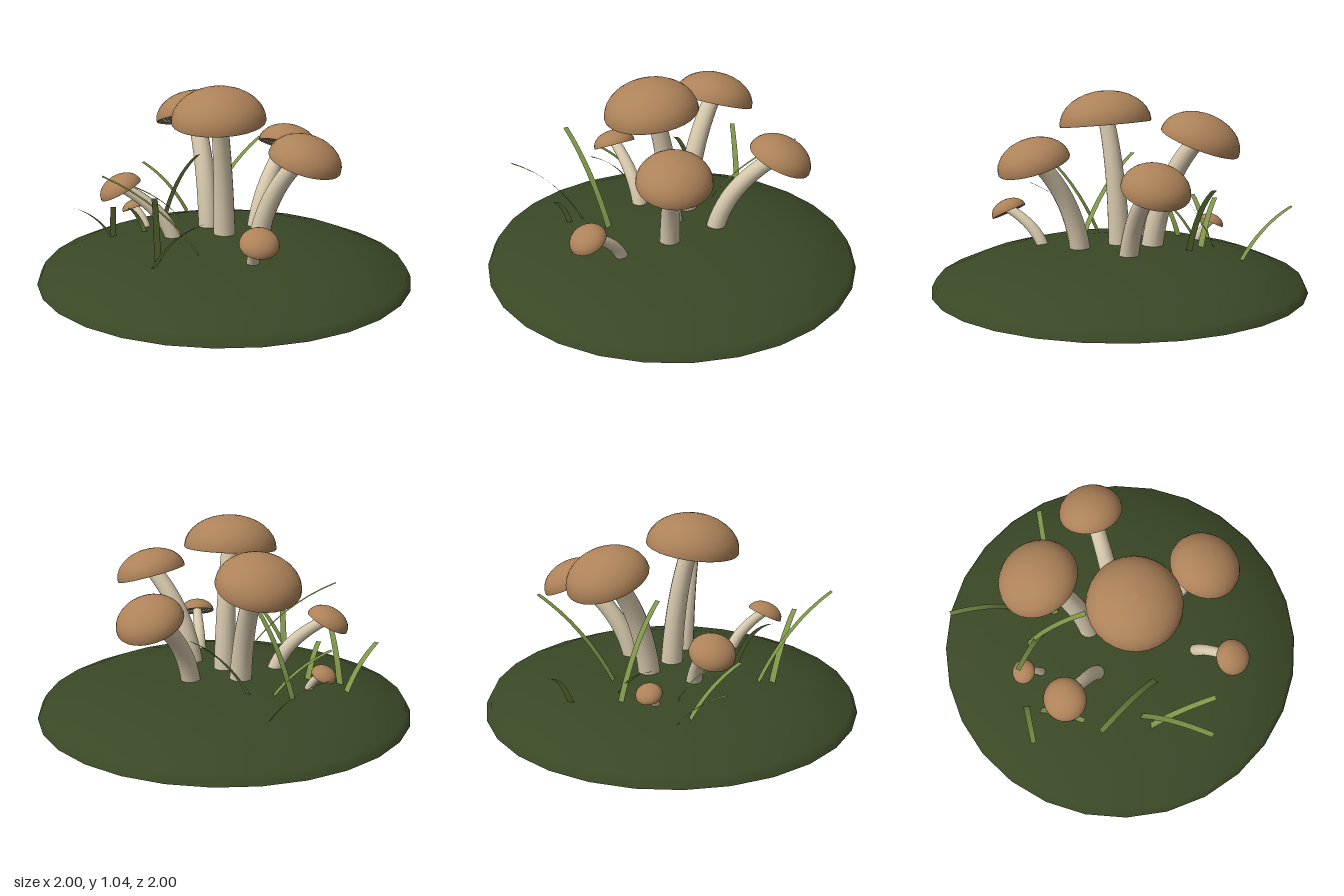
import * as THREE from 'three';

const V = (x, y, z) => new THREE.Vector3(x, y, z);
const mat = (name, color, side = THREE.FrontSide) => {
  const m = new THREE.MeshStandardMaterial({ color, side });
  m.name = name;
  return m;
};

// base x, z | cap rim centre x, y, z | cap radius, stem base radius, stem top radius, tilt in degrees
const MUSHROOMS = [
  [0, 0, 0, 0.865, 0.11, 0.245, 0.06, 0.042, 7],
  [-0.12, -0.12, -0.265, 0.782, -0.33, 0.215, 0.06, 0.045, 20],
  [0.2, 0.08, 0.457, 0.685, 0.14, 0.19, 0.055, 0.042, 17],
  [0.12, -0.2, 0.23, 0.61, -0.515, 0.172, 0.052, 0.04, 24],
  [-0.245, 0.1, -0.52, 0.475, 0.17, 0.117, 0.044, 0.028, 27],
  [0.24, 0.34, 0.325, 0.365, 0.545, 0.098, 0.034, 0.025, 27],
  [-0.47, -0.1, -0.565, 0.285, -0.14, 0.067, 0.024, 0.018, 25],
];

// base x, y, z | tip x, y, z
const BLADES = [
  [-0.66, 0.15, -0.02, -0.78, 0.37, 0.22],
  [-0.62, 0.16, 0.05, -0.51, 0.42, 0.31],
  [-0.45, 0.18, 0.0, -0.48, 0.37, 0.15],
  [-0.44, 0.18, -0.28, -0.17, 0.63, -0.08],
  [-0.33, 0.19, -0.28, -0.6, 0.42, -0.13],
  [-0.23, 0.17, 0.43, -0.1, 0.64, 0.83],
  [-0.23, 0.17, 0.51, 0.08, 0.48, 0.67],
  [-0.03, 0.2, 0.34, -0.51, 0.62, 0.45],
  [-0.38, 0.17, -0.53, -0.68, 0.43, -0.61],
  [-0.22, 0.19, -0.3, 0.02, 0.61, -0.7],
];

// Tapered tube along a curve
function taperedStem(curve, r0, r1) {
  const n = 14, sides = 14;
  const geo = new THREE.TubeGeometry(curve, n, r0, sides);
  const pos = geo.attributes.position, p = V(0, 0, 0);
  for (let i = 0; i < pos.count; i++) {
    const t = Math.floor(i / (sides + 1)) / n;
    const c = curve.getPointAt(t);
    p.fromBufferAttribute(pos, i).sub(c).multiplyScalar(1 + (r1 / r0 - 1) * t).add(c);
    pos.setXYZ(i, p.x, p.y, p.z);
  }
  return geo;
}

// Thin radial plates below the cap
function gillPlates(R, count) {
  const pts = [];
  for (let i = 0; i < count; i++) {
    const a = (i / count) * Math.PI * 2, s = Math.sin(a), c = Math.cos(a);
    const at = (r, y) => [s * r * R, y * R, c * r * R];
    const rim = at(0.98, 0), top = at(0.15, 0.28), low = at(0.15, 0.08), mid = at(0.6, 0.01);
    pts.push(...rim, ...top, ...mid, ...mid, ...top, ...low);
  }
  const geo = new THREE.BufferGeometry();
  geo.setAttribute('position', new THREE.Float32BufferAttribute(pts, 3));
  geo.computeVertexNormals();
  return geo;
}

// Ribbon that rises from its base and leans over to its tip
function bladeGeometry(base, tip) {
  const lean = V(tip.x - base.x, 0, tip.z - base.z);
  const side = V(-lean.z, 0, lean.x).normalize();
  const bend = base.clone().addScaledVector(lean, 0.38);
  bend.y += (tip.y - base.y) * 0.68;
  const curve = new THREE.QuadraticBezierCurve3(base, bend, tip);
  const geo = new THREE.PlaneGeometry(0.034, 1, 1, 8);
  const pos = geo.attributes.position;
  for (let i = 0; i < pos.count; i++) {
    const t = pos.getY(i) + 0.5;
    const p = curve.getPoint(t).addScaledVector(side, pos.getX(i) * (1 - 0.2 * t));
    pos.setXYZ(i, p.x, p.y, p.z);
  }
  geo.computeVertexNormals();
  return geo;
}

export function createModel() {
  const model = new THREE.Group();
  model.name = 'mushroomPatch';
  const moss = mat('moss', 0x3a4826);
  const capBrown = mat('capBrown', 0xad8259);
  const stemCream = mat('stemCream', 0xd6c8ac);
  const gillCream = mat('gillCream', 0xc6b696, THREE.DoubleSide);
  const gillShade = mat('gillShade', 0x8a7a62);
  const grass = mat('grass', 0x7d9448, THREE.DoubleSide);
  const add = (parent, name, geo, material) => {
    const mesh = new THREE.Mesh(geo, material);
    mesh.name = name;
    parent.add(mesh);
    return mesh;
  };

  // Mound with a flat underside
  const profile = [[1, 0], [0.975, 0.05], [0.8, 0.125], [0.6, 0.18], [0.32, 0.22], [0, 0.23]];
  add(model, 'mound', new THREE.LatheGeometry(profile.map(([x, y]) => new THREE.Vector2(x, y)), 28), moss);
  add(model, 'moundUnderside', new THREE.CircleGeometry(1, 28).rotateX(Math.PI / 2), moss);

  // Mushrooms: curved stem, domed cap, gills
  for (const [bx, bz, cx, cy, cz, R, r0, r1, tilt] of MUSHROOMS) {
    const mushroom = new THREE.Group();
    mushroom.name = 'mushroom';
    model.add(mushroom);

    const by = 0.21 - 0.13 * (bx * bx + bz * bz);
    const lean = V(cx - bx, 0, cz - bz);
    const angle = THREE.MathUtils.degToRad(tilt);
    const axis = lean.clone().normalize().multiplyScalar(Math.sin(angle));
    axis.y = Math.cos(angle);
    const base = V(bx, by - 0.03, bz), rim = V(cx, cy, cz);
    const top = rim.clone().addScaledVector(axis, 0.22 * R);
    const bend = base.clone().addScaledVector(lean, 0.15);
    bend.y += (top.y - base.y) * 0.62;
    add(mushroom, 'stem', taperedStem(new THREE.QuadraticBezierCurve3(base, bend, top), r0, r1), stemCream);

    const head = new THREE.Group();
    head.name = 'head';
    head.position.copy(rim);
    head.quaternion.setFromUnitVectors(V(0, 1, 0), axis);
    mushroom.add(head);

    const dome = [new THREE.Vector2(R * 0.985, -0.03 * R)];
    for (let i = 0; i <= 8; i++) {
      const a = (i / 8) * Math.PI / 2;
      dome.push(new THREE.Vector2(i === 8 ? 0 : R * Math.cos(a), 0.7 * R * Math.sin(a)));
    }
    add(head, 'cap', new THREE.LatheGeometry(dome, 28), capBrown);
    const under = [[0, 0.3], [0.5, 0.2], [0.985, -0.03]].map(([x, y]) => new THREE.Vector2(x * R, y * R));
    add(head, 'capUnderside', new THREE.LatheGeometry(under, 28), gillShade);
    add(head, 'gills', gillPlates(R, 44), gillCream);
  }

  // Grass blades
  for (const [bx, by, bz, tx, ty, tz] of BLADES) {
    add(model, 'grassBlade', bladeGeometry(V(bx, by, bz), V(tx, ty, tz)), grass);
  }
  return model;
}
